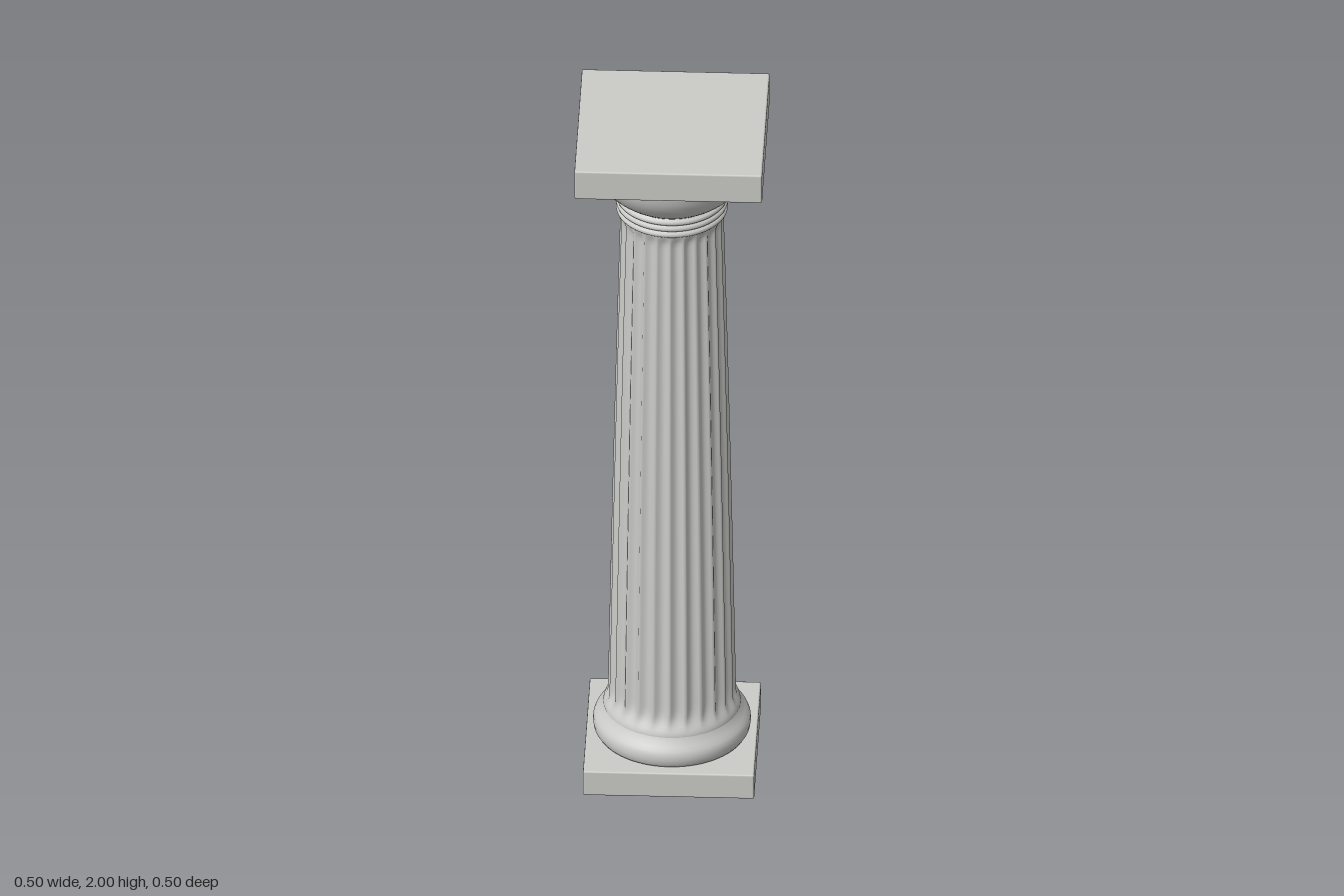
import * as THREE from 'three';
import { mergeVertices } from 'three/addons/utils/BufferGeometryUtils.js';
import { RoundedBoxGeometry } from 'three/addons/geometries/RoundedBoxGeometry.js';

const FLUTES = 24;
const smooth = THREE.MathUtils.smoothstep;

export function createModel() {
  const column = new THREE.Group();
  column.name = 'column';
  const stone = new THREE.MeshStandardMaterial({ color: 0xcbcbc8 });
  stone.name = 'pale stone';

  const add = (name, geometry, y = 0) => {
    const mesh = new THREE.Mesh(geometry, stone);
    mesh.name = name;
    mesh.position.y = y;
    column.add(mesh);
  };
  const slab = (name, width, y0, y1) =>
    add(name, new RoundedBoxGeometry(width, y1 - y0, width, 1, 0.005), (y0 + y1) / 2);
  const turned = (name, points) =>
    add(name, new THREE.LatheGeometry(points.map(([r, y]) => new THREE.Vector2(r, y)), 72));

  // Square slabs at the foot and the top
  slab('plinth', 0.456, 0, 0.076);
  slab('abacus', 0.5, 1.912, 2);

  // Rounded foot moulding sweeping into the shaft
  turned('baseMoulding', [
    [0.19, 0.074], [0.202, 0.08], [0.208, 0.09], [0.21, 0.104], [0.209, 0.117],
    [0.204, 0.128], [0.196, 0.137], [0.188, 0.148], [0.181, 0.16], [0.175, 0.175], [0.168, 0.19],
  ]);

  // Fluted, tapering shaft: flutes fade out at both ends
  const y0 = 0.16, y1 = 1.735, rows = 60;
  const shaft = new THREE.CylinderGeometry(1, 1, 1, FLUTES * 8, rows, true);
  shaft.deleteAttribute('uv');
  shaft.deleteAttribute('normal');
  const p = shaft.attributes.position;
  for (let i = 0; i < p.count; i++) {
    // Crowd the rows towards the ends, where the flutes are rounded
    const t = (1 - Math.cos(Math.PI * (p.getY(i) + 0.5))) / 2;
    const y = y0 + (y1 - y0) * t;
    const angle = Math.atan2(p.getX(i), p.getZ(i));
    const body = 0.171 - 0.026 * t - 0.008 * t * t;
    const flare = 0.012 * (1 - smooth(y, y0, 0.2)) + 0.004 * smooth(y, 1.7, y1);
    const fade = smooth(y, 0.17, 0.225) * (1 - smooth(y, 1.69, 1.728));
    const depth = (0.012 - 0.003 * t) * fade;
    const r = body + flare - depth * Math.abs(Math.sin(angle * FLUTES / 2));
    p.setXYZ(i, r * Math.sin(angle), y, r * Math.cos(angle));
  }
  const shaftGeometry = mergeVertices(shaft, 1e-5);
  shaftGeometry.computeVertexNormals();
  add('flutedShaft', shaftGeometry);

  // Three narrow rounded rings around the neck
  const neck = [[0.135, 1.725]];
  for (let k = 0; k < 3; k++) {
    for (let j = 0; j <= 6; j++) {
      const a = (j / 6) * Math.PI;
      neck.push([0.141 + 0.008 * Math.sin(a), 1.735 + k * 0.019 - 0.0085 * Math.cos(a)]);
    }
  }
  neck.push([0.138, 1.788]);
  turned('neckRings', neck);

  // Swelling cushion under the abacus
  turned('echinus', [
    [0.138, 1.782], [0.145, 1.787], [0.157, 1.796], [0.171, 1.808], [0.185, 1.822],
    [0.198, 1.838], [0.208, 1.856], [0.215, 1.874], [0.219, 1.894], [0.221, 1.913],
  ]);

  return column;
}
